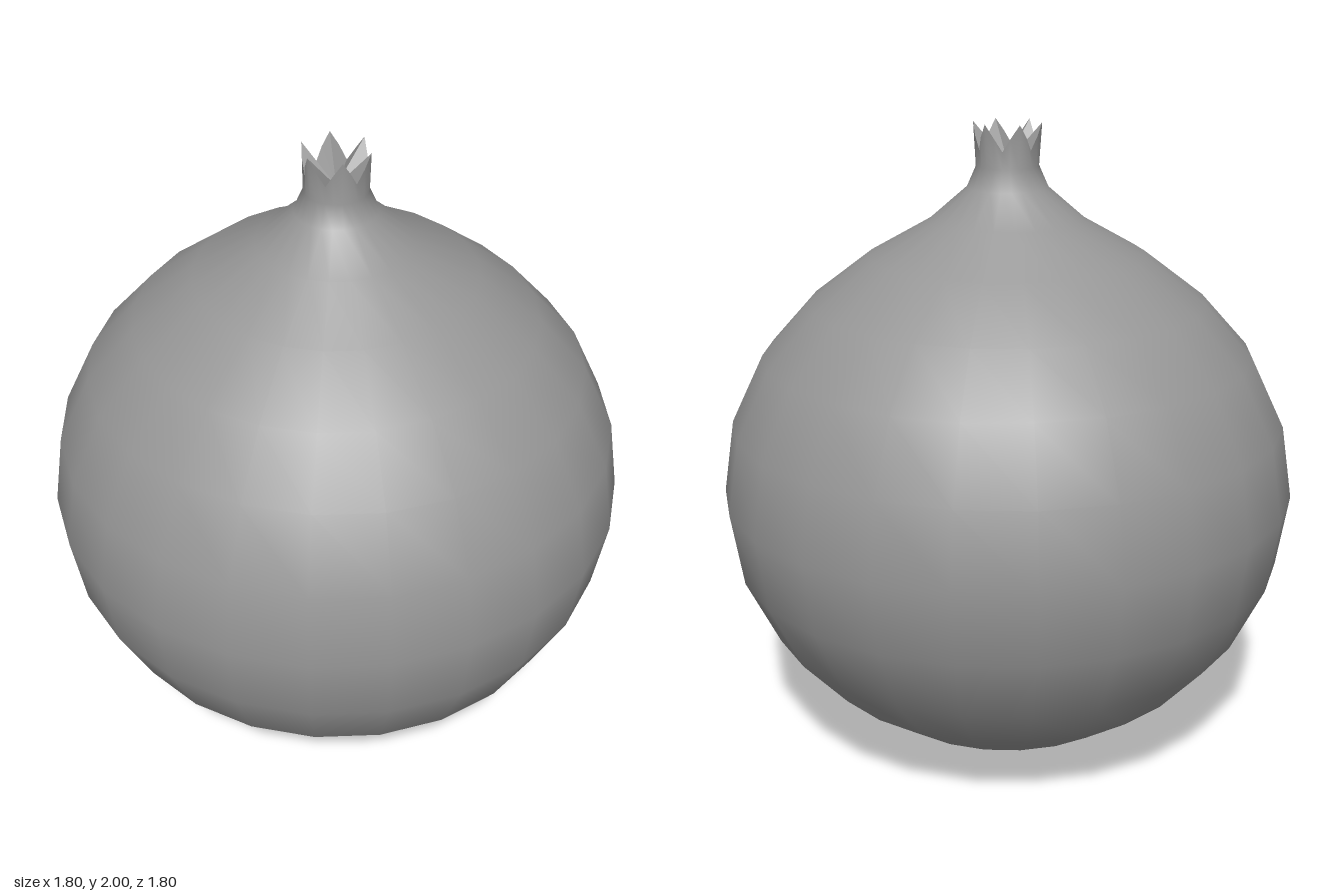
import * as THREE from 'three';

const SEGMENTS = 24;

// Crown rim: six pointed tips, with valleys that are lower and closer in
function rimPoint(i) {
  const step = Math.min(i % 4, 4 - (i % 4));
  const radius = 0.105 - 0.0075 * step;
  const angle = (i / SEGMENTS) * Math.PI * 2;
  return [radius * Math.sin(angle), 2 - 0.04 * step, radius * Math.cos(angle)];
}

export function createModel() {
  const group = new THREE.Group();
  const material = new THREE.MeshStandardMaterial({ color: 0x979797 });

  // Round fruit drawn up into a narrow neck
  const profile = [
    [0, 0], [0.222, 0.032], [0.43, 0.118], [0.615, 0.25], [0.762, 0.415],
    [0.864, 0.627], [0.9, 0.857], [0.864, 1.085], [0.762, 1.296], [0.614, 1.46],
    [0.429, 1.6], [0.24, 1.706], [0.125, 1.805], [0.096, 1.87], [0.1, 2],
  ].map(([r, y]) => new THREE.Vector2(r, y));
  const bodyGeometry = new THREE.LatheGeometry(profile, SEGMENTS);
  const position = bodyGeometry.attributes.position;
  for (let i = 0; i <= SEGMENTS; i++) {
    position.setXYZ((i + 1) * profile.length - 1, ...rimPoint(i));
  }
  const body = new THREE.Mesh(bodyGeometry, material);
  body.name = 'fruitBody';
  group.add(body);

  // Pleated hollow inside the crown: a fan from its low centre to the rim
  const corners = [];
  for (let i = 0; i < SEGMENTS; i++) {
    corners.push(0, 1.88, 0, ...rimPoint(i), ...rimPoint(i + 1));
  }
  const crownGeometry = new THREE.BufferGeometry();
  crownGeometry.setAttribute('position', new THREE.Float32BufferAttribute(corners, 3));
  crownGeometry.computeVertexNormals();
  const crown = new THREE.Mesh(crownGeometry, material);
  crown.name = 'crownHollow';
  group.add(crown);

  return group;
}
